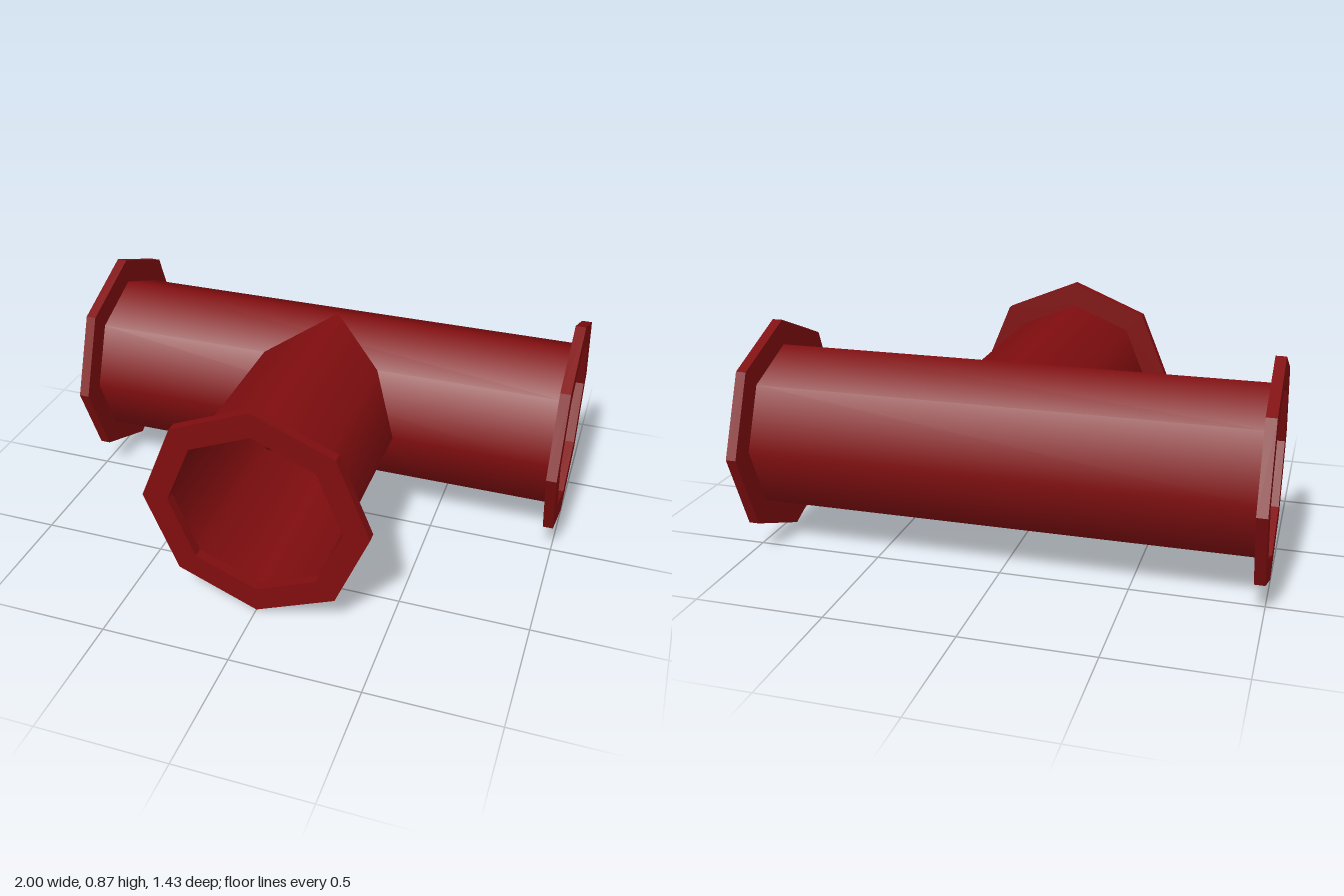
import * as THREE from 'three';

const SIDES = 8;
const PIPE_R = 0.337;
const FLANGE_R = 0.437;
const FLANGE_T = 0.04;
const AXIS_Y = 0.437;
const AXIS_Z = -0.28;

// Regular polygon with a corner on each axis
function ringPoints(radius) {
  return Array.from({ length: SIDES }, (_, i) => {
    const a = (i / SIDES) * Math.PI * 2;
    return new THREE.Vector2(Math.cos(a) * radius, Math.sin(a) * radius);
  });
}

export function createModel() {
  const paint = new THREE.MeshStandardMaterial({ color: 0x800d0f });
  paint.name = 'dark red';
  paint.side = THREE.DoubleSide;

  const model = new THREE.Group();
  model.name = 'teePipe';

  // Open smooth tube running along z from z0 to z1
  function tube(name, z0, z1) {
    const geo = new THREE.CylinderGeometry(PIPE_R, PIPE_R, z1 - z0, SIDES, 1, true);
    geo.rotateX(Math.PI / 2);
    geo.translate(0, 0, (z0 + z1) / 2);
    const mesh = new THREE.Mesh(geo, paint);
    mesh.name = name;
    return mesh;
  }

  // Octagonal ring plate along z whose outer face lies at zEnd
  function flange(name, zEnd) {
    const shape = new THREE.Shape(ringPoints(FLANGE_R));
    shape.holes.push(new THREE.Path(ringPoints(PIPE_R).reverse()));
    const geo = new THREE.ExtrudeGeometry(shape, { depth: FLANGE_T, bevelEnabled: false });
    geo.translate(0, 0, zEnd - FLANGE_T);
    const mesh = new THREE.Mesh(geo, paint);
    mesh.name = name;
    return mesh;
  }

  // Main run from side to side
  const run = new THREE.Group();
  run.name = 'mainRun';
  run.add(tube('mainPipe', -1 + FLANGE_T, 1 - FLANGE_T));
  run.add(flange('leftFlange', 1));
  run.add(flange('rightFlange', -1 + FLANGE_T));
  run.rotation.y = Math.PI / 2;

  // Branch from the axis of the run to the front
  const branch = new THREE.Group();
  branch.name = 'branch';
  const reach = 0.717 - AXIS_Z;
  branch.add(tube('branchPipe', 0, reach - FLANGE_T));
  branch.add(flange('frontFlange', reach));

  for (const part of [run, branch]) {
    part.position.set(0, AXIS_Y, AXIS_Z);
    model.add(part);
  }
  return model;
}
